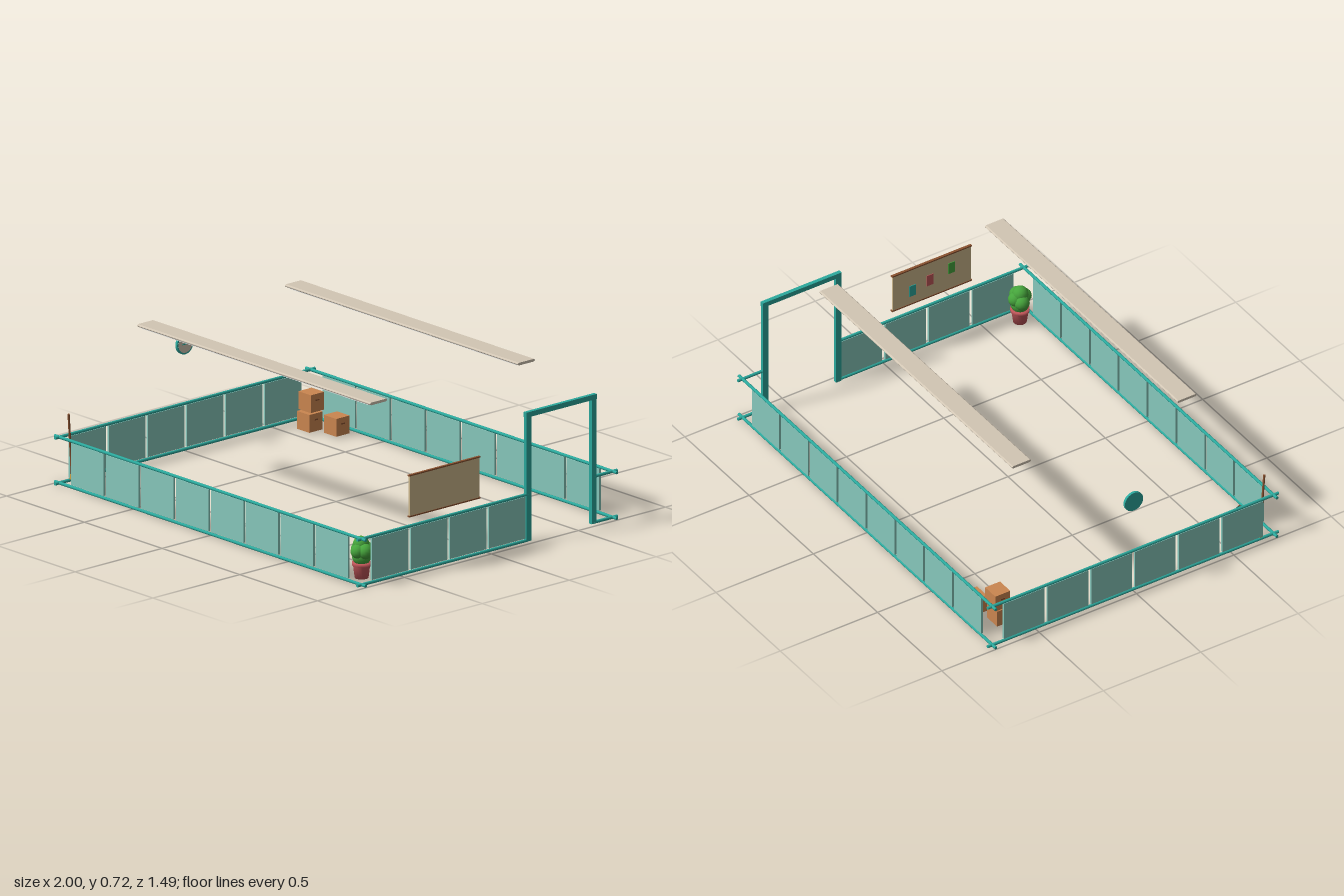
import * as THREE from 'three';

const mat = (name, color, side = THREE.FrontSide) => {
  const m = new THREE.MeshStandardMaterial({ color, side });
  m.name = name;
  return m;
};

export function createModel() {
  const teal = mat('teal', 0x2ba99d);
  const tealOpen = mat('teal', 0x2ba99d, THREE.DoubleSide);
  const glass = mat('pale teal', 0x87c8bc);
  const cream = mat('cream', 0xd2c6b4);
  const cork = mat('cork', 0xcdb78c);
  const brown = mat('brown', 0x8a5230);
  const card = mat('cardboard', 0xcb8650);
  const red = mat('red', 0xbf5558);
  const green = mat('green', 0x46a53c);
  const white = mat('white', 0xececea);
  const ochre = mat('ochre', 0xd0a040);

  const root = new THREE.Group();
  root.name = 'fencedRoom';
  const group = (name, parent = root) => {
    const g = new THREE.Group();
    g.name = name;
    parent.add(g);
    return g;
  };
  const add = (parent, name, geo, material, x = 0, y = 0, z = 0) => {
    const m = new THREE.Mesh(geo, material);
    m.name = name;
    m.position.set(x, y, z);
    parent.add(m);
    return m;
  };
  const box = (parent, name, w, h, d, material, x, y, z) =>
    add(parent, name, new THREE.BoxGeometry(w, h, d), material, x, y, z);
  // round bar between two points
  const bar = (parent, name, a, b, r, material) => {
    const p = new THREE.Vector3(...a), q = new THREE.Vector3(...b);
    const dir = q.clone().sub(p);
    const m = add(parent, name, new THREE.CylinderGeometry(r, r, dir.length(), 12), material);
    m.position.copy(p).add(q).multiplyScalar(0.5);
    m.quaternion.setFromUnitVectors(new THREE.Vector3(0, 1, 0), dir.normalize());
    return m;
  };

  const X = 0.972, Z = 0.722, PITCH = 0.2245, PANEL = 0.209;
  const railHeights = [0.009, 0.215];

  // front and back fences: two rails and eight panels each
  for (const [name, z] of [['frontFence', Z], ['backFence', -Z]]) {
    const g = group(name);
    for (const y of railHeights) bar(g, 'rail', [-1, y, z], [1, y, z], 0.007, teal);
    for (let i = 0; i < 8; i++)
      box(g, 'panel', PANEL, 0.188, 0.01, glass, (i - 3.5) * PITCH, 0.114, z);
  }

  // side fences: the left one is interrupted by the doorway
  for (const [name, x, count, spans] of [
    ['rightFence', -X, 6, [[-0.747, 0.747]]],
    ['leftFence', X, 4, [[-0.747, -0.61], [-0.235, 0.747]]],
  ]) {
    const g = group(name);
    for (const y of railHeights)
      for (const [a, b] of spans) bar(g, 'rail', [x, y, a], [x, y, b], 0.007, teal);
    for (let i = 0; i < count; i++)
      box(g, 'panel', 0.01, 0.188, PANEL, glass, x, 0.114, (2.5 - i) * PITCH);
  }

  // doorway
  const door = group('doorway');
  for (const z of [-0.235, -0.61])
    box(door, 'doorPost', 0.017, 0.558, 0.028, teal, 0.97, 0.284, z);
  box(door, 'doorLintel', 0.018, 0.023, 0.405, teal, 0.97, 0.574, -0.4225);

  // hanging lights
  for (const z of [-0.425, 0.425]) {
    const g = group('ceilingLight');
    const s = new THREE.Shape();
    s.moveTo(-0.043, -0.006).lineTo(0.043, -0.006)
      .quadraticCurveTo(0.055, 0, 0.043, 0.006).lineTo(-0.043, 0.006)
      .quadraticCurveTo(-0.055, 0, -0.043, -0.006);
    const geo = new THREE.ExtrudeGeometry(s, { depth: 1.5, bevelEnabled: false, curveSegments: 6 });
    geo.translate(0, 0, -0.75).rotateY(Math.PI / 2);
    add(g, 'lightHousing', geo, cream, 0, 0.716, z);
    box(g, 'diffuser', 1.46, 0.005, 0.08, white, 0, 0.708, z);
  }

  // notice board with pinned notes on its inner face
  const board = group('noticeBoard');
  box(board, 'corkSheet', 0.008, 0.18, 0.4, cork, 0.975, 0.352, 0.25);
  for (const y of [0.26, 0.444])
    box(board, 'boardTrim', 0.012, 0.006, 0.41, brown, 0.975, y, 0.25);
  [[teal, 0.15, 0.33], [red, 0.24, 0.35], [green, 0.35, 0.37]].forEach(([m, z, y]) =>
    box(board, 'note', 0.004, 0.055, 0.035, m, 0.97, y, z));

  // wall clock facing the room
  const clock = group('clock');
  clock.position.set(-0.975, 0.483, 0);
  const disc = (name, r, t, m, x) =>
    add(clock, name, new THREE.CylinderGeometry(r, r, t, 32), m, x).rotation.z = Math.PI / 2;
  disc('clockBody', 0.047, 0.012, teal, 0);
  disc('clockFace', 0.04, 0.003, cream, 0.006);
  box(clock, 'minuteHand', 0.003, 0.03, 0.004, teal, 0.0085, 0.013, 0);
  box(clock, 'hourHand', 0.003, 0.004, 0.02, teal, 0.0085, 0, 0.009);

  // cardboard boxes, two of them stacked
  const boxes = group('boxes');
  for (const [x, y, z] of [[-0.833, 0.047, -0.594], [-0.835, 0.133, -0.604], [-0.714, 0.047, -0.642]]) {
    box(boxes, 'cardboardBox', 0.08, 0.08, 0.076, card, x, y, z);
    for (const s of [-1, 1])
      box(boxes, 'handSlot', 0.002, 0.006, 0.022, brown, x + s * 0.04, y + 0.012, z);
  }

  // potted plant
  const plant = group('pottedPlant');
  plant.position.set(0.892, 0, 0.65);
  const pot = [[0, 0.008], [0.03, 0.008], [0.037, 0.062], [0.042, 0.064], [0.042, 0.078], [0, 0.078]];
  add(plant, 'pot', new THREE.LatheGeometry(pot.map(p => new THREE.Vector2(...p)), 20), red);
  for (const [x, y, z, r] of [
    [0, 0.105, 0, 0.042], [0.03, 0.133, 0.005, 0.034], [-0.028, 0.128, -0.008, 0.034],
    [0.005, 0.132, 0.026, 0.032], [0, 0.135, -0.022, 0.033], [-0.004, 0.157, 0, 0.036],
  ]) add(plant, 'foliage', new THREE.SphereGeometry(r, 14, 10), green, x, y, z);

  // bucket with an arched handle
  const bucket = group('bucket');
  bucket.position.set(-0.815, 0, 0.665);
  const pail = [[0, 0.01], [0.024, 0.01], [0.03, 0.062]].map(p => new THREE.Vector2(...p));
  add(bucket, 'pail', new THREE.LatheGeometry(pail, 20), tealOpen);
  add(bucket, 'handle', new THREE.TorusGeometry(0.029, 0.002, 6, 16, Math.PI), brown, 0, 0.06, 0)
    .scale.y = 0.5;

  // broom leaning in the corner
  const broom = group('broom');
  bar(broom, 'broomStick', [-0.966, 0.03, 0.655], [-0.946, 0.318, 0.692], 0.005, brown);
  box(broom, 'broomHead', 0.055, 0.024, 0.014, ochre, -0.947, 0.026, 0.657);

  return root;
}
